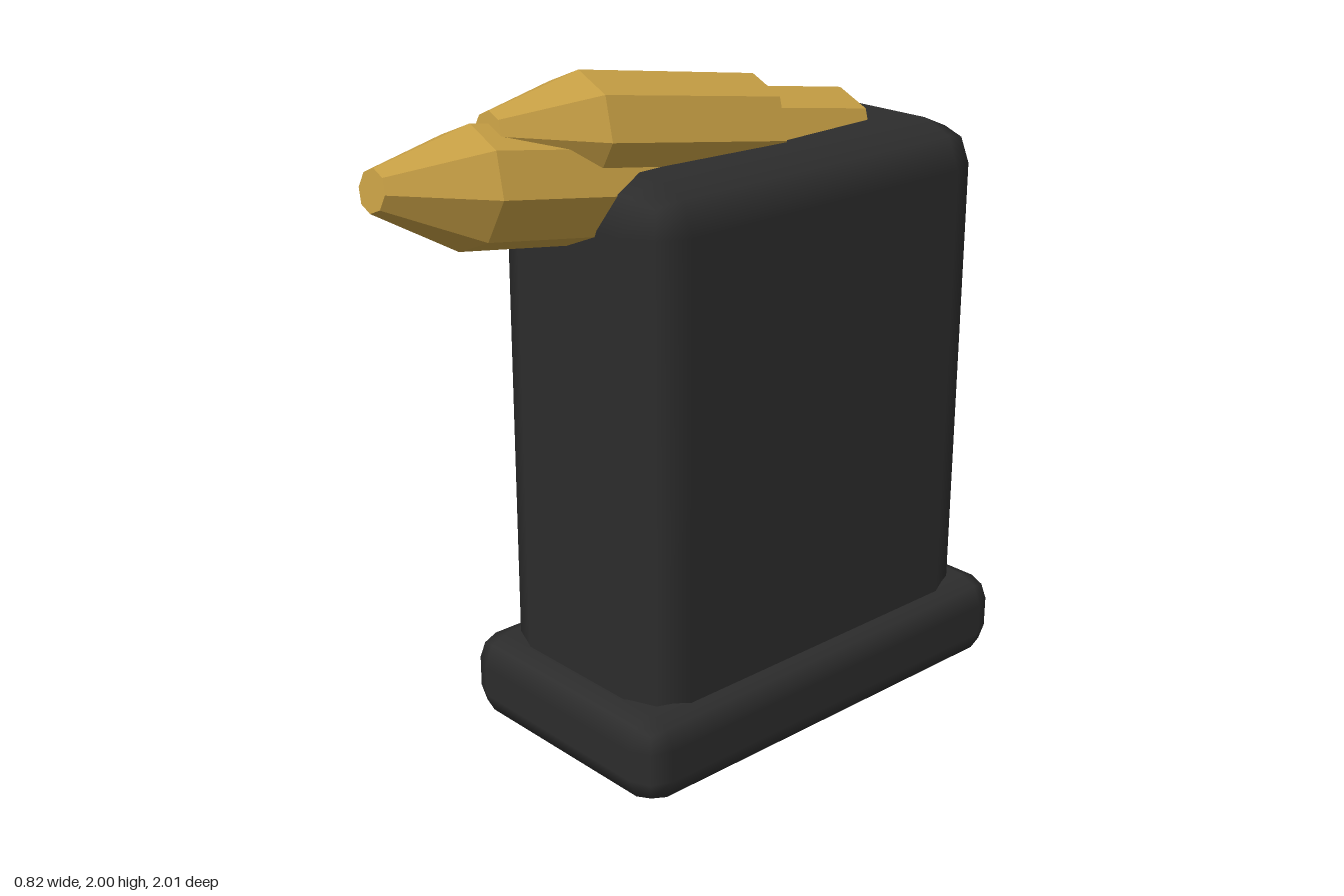
import * as THREE from 'three';
import { RoundedBoxGeometry } from 'three/addons/geometries/RoundedBoxGeometry.js';

export function createModel() {
  const model = new THREE.Group();
  model.name = 'loadedMagazine';

  const black = new THREE.MeshStandardMaterial({ color: 0x2d2d2d });
  black.name = 'black';
  const brass = new THREE.MeshStandardMaterial({ color: 0xc8a045, flatShading: true });
  brass.name = 'brass';

  const add = (parent, name, geometry, material, x, y, z) => {
    const mesh = new THREE.Mesh(geometry, material);
    mesh.name = name;
    mesh.position.set(x, y, z);
    parent.add(mesh);
  };

  // Housing and wider foot, both with softly chamfered edges
  add(model, 'housing', new RoundedBoxGeometry(0.69, 1.64, 1.31, 1, 0.135), black, 0, 0.92, -0.255);
  add(model, 'basePlate', new RoundedBoxGeometry(0.82, 0.265, 1.48, 1, 0.085), black, 0, 0.1325, -0.26);

  // Flat panel on the right side
  add(model, 'sidePanel', new THREE.BoxGeometry(0.06, 1.05, 0.79), brass, -0.35, 0.875, -0.265);

  // Eight-sided section lying along z, front radius first
  const section = (front, back, length) =>
    new THREE.CylinderGeometry(front, back, length, 8).rotateX(Math.PI / 2);

  // Cartridge: origin at the shoulder on its axis, nose tilted upwards
  const addCartridge = (name, y, z) => {
    const cartridge = new THREE.Group();
    cartridge.name = name;
    add(cartridge, 'nose', section(0.056, 0.163, 0.277), brass, 0, 0, 0.1385);
    add(cartridge, 'case', section(0.163, 0.163, 0.637), brass, 0, 0, -0.3185);
    add(cartridge, 'caseEnd', section(0.155, 0.155, 0.4), brass, 0, -0.027, -0.805);
    cartridge.position.set(0, y, z);
    cartridge.rotation.x = -0.15;
    model.add(cartridge);
  };
  addCartridge('upperCartridge', 1.839, 0.374);
  addCartridge('lowerCartridge', 1.752, 0.725);

  return model;
}
